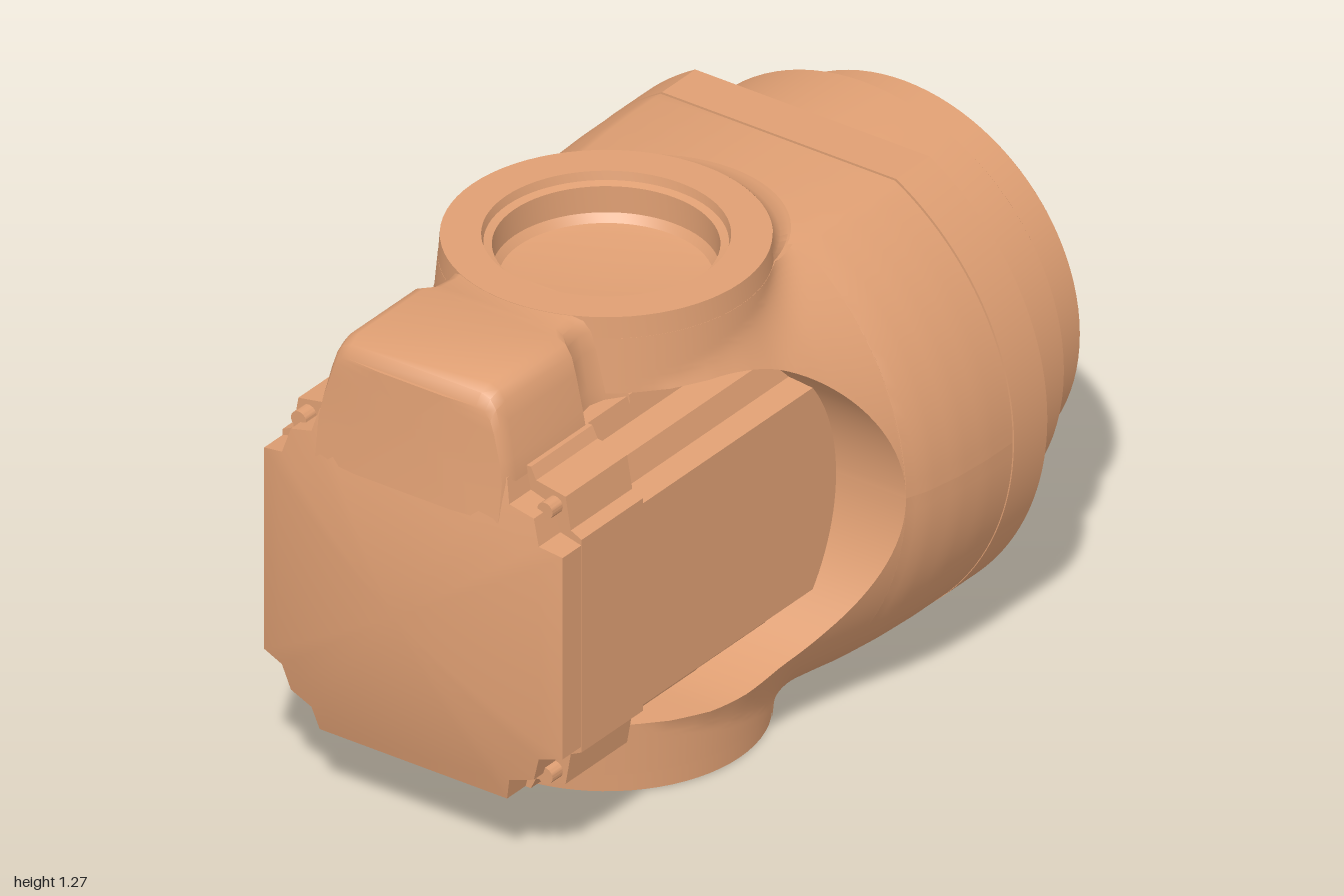
import * as THREE from 'three';
import { toCreasedNormals } from 'three/addons/utils/BufferGeometryUtils.js';

const AXIS = 0.632;   // height of the main axis, which runs along x
const PIVOT = -0.17;  // x of the vertical joint axis
const material = new THREE.MeshStandardMaterial({ color: 0xdf9f73, side: THREE.DoubleSide });

function part(name, geometry, parent, crease = 0.5) {
  const mesh = new THREE.Mesh(toCreasedNormals(geometry, crease), material);
  mesh.name = name;
  parent.add(mesh);
  return mesh;
}

// Skin over rings of [x, y, z], ordered along +x, with both ends closed
function loft(rings) {
  const n = rings[0].length, verts = rings.flat(2), index = [];
  for (let i = 0; i < rings.length - 1; i++) {
    for (let j = 0; j < n; j++) {
      const a = i * n + j, b = i * n + (j + 1) % n, c = a + n, d = b + n;
      index.push(a, c, b, b, c, d);
    }
  }
  [0, rings.length - 1].forEach((r, end) => {
    const centre = verts.length / 3;
    for (let k = 0; k < 3; k++) verts.push(rings[r].reduce((s, p) => s + p[k], 0) / n);
    for (let j = 0; j < n; j++) {
      const a = r * n + j, b = r * n + (j + 1) % n;
      index.push(centre, end ? b : a, end ? a : b);
    }
  });
  const g = new THREE.BufferGeometry();
  g.setAttribute('position', new THREE.Float32BufferAttribute(verts, 3));
  g.setIndex(index);
  return g;
}

const lathe = (pts, seg = 72, start = 0, len = Math.PI * 2) =>
  new THREE.LatheGeometry(pts.map(p => new THREE.Vector2(...p)), seg, start, len);

// Linear lookup in a list of [x, value]
function sample(table, x) {
  let i = 1;
  while (i < table.length - 1 && x > table[i][0]) i++;
  const [x0, v0] = table[i - 1], [x1, v1] = table[i];
  return v0 + (v1 - v0) * THREE.MathUtils.clamp((x - x0) / (x1 - x0), 0, 1);
}

function smoothMax(a, b, k) {
  const h = Math.max(k - Math.abs(a - b), 0) / k;
  return Math.max(a, b) + h * h * k / 4;
}

const chord = (r, d) => Math.sqrt(Math.max(0, r * r - d * d));

// Half of the forked housing: a round body blended into the joint boss,
// cut by the round-ended side window and by the bearing well
function housingHalf() {
  const width = [[-0.57, 0], [-0.5, 0.28], [-0.4, 0.45], [-0.3, 0.52], [-0.2, 0.55], [-0.1, 0.56],
    [0, 0.585], [0.07, 0.607], [0.14, 0.63], [0.2, 0.652], [0.3, 0.67], [0.4, 0.677], [0.5, 0.677]];
  const R = 0.675, top = 0.585, stations = [];
  for (let i = 0; i <= 14; i++) stations.push(-0.3 - 0.268 * Math.cos(i / 14 * Math.PI / 2));
  for (let i = 1; i <= 28; i++) stations.push(-0.3 + 0.445 * Math.sin(i / 28 * Math.PI / 2));
  for (let i = 1; i <= 14; i++) stations.push(0.145 + 0.355 * i / 14);
  return loft(stations.map(x => {
    const w = sample(width, x), well = chord(0.28, x - PIVOT), side = [];
    const a0 = Math.asin(chord(0.445, Math.max(0, x + 0.3)) / R), a1 = Math.asin(top / R);
    for (let j = 0; j <= 18; j++) {
      const a = a0 + (a1 - a0) * j / 18, y = R * Math.sin(a);
      const boss = chord(0.386 + 0.09 * (0.637 - y), x - PIVOT);
      const blend = 0.06 * THREE.MathUtils.smoothstep(x, -0.5, -0.1) + 0.001;
      side.push([x, y, boss > 0 ? smoothMax(w * Math.cos(a), boss, blend) : w * Math.cos(a)]);
    }
    side.push([x, top, well], [x, well > 0 ? 0.5 : top, well]);
    return [...side, ...side.map(([px, y, z]) => [px, y, -z]).reverse()];
  }));
}

// Fillet from the front of a boss to the flat of the housing, fading out sideways
function bossFillet() {
  const half = 1.05, r0 = 0.387;
  const g = lathe([[0.53, 1.214], [0.48, 1.218], [0.44, 1.23], [0.41, 1.248], [r0, 1.271]],
    32, Math.PI / 2 - half, 2 * half);
  const p = g.attributes.position;
  for (let i = 0; i < p.count; i++) {
    const r = Math.hypot(p.getX(i), p.getZ(i)), angle = Math.atan2(p.getZ(i), p.getX(i));
    const s = (r0 + (r - r0) * Math.cos(angle / half * Math.PI / 2)) / r;
    p.setX(i, p.getX(i) * s);
    p.setZ(i, p.getZ(i) * s);
  }
  g.computeVertexNormals();
  return g;
}

// Four-way symmetric outline from one quarter of [z, y] points
function outline(quarter) {
  const back = [...quarter].reverse();
  return [...quarter, ...back.map(([z, y]) => [-z, y]),
    ...quarter.map(([z, y]) => [-z, -y]), ...back.map(([z, y]) => [z, -y])];
}

const dome = (y, z) => -1 + 0.3 * (y * y + z * z);

function motor(group) {
  const body = outline([[0.43, 0.27], [0.37, 0.285], [0.35, 0.35], [0.285, 0.37], [0.27, 0.43]]);
  const collar = outline([[0.431, 0.285], [0.4, 0.3], [0.385, 0.385], [0.3, 0.4], [0.285, 0.431]]);

  // domed rear cover running into the long notched body
  const rings = [];
  for (let i = 1; i <= 8; i++) {
    rings.push(body.map(([z, y]) => [dome(y * i / 8, z * i / 8), y * i / 8, z * i / 8]));
  }
  rings.push(body.map(([z, y]) => [0.2, y, z]));
  part('motorBody', loft(rings), group).position.y = AXIS;

  // collar with slightly fuller corners
  part('motorCollar', loft([-0.85, -0.61].map(x => collar.map(([z, y]) => [x, y, z]))), group)
    .position.y = AXIS;

  // corner screws in the notches behind the rear cover
  for (const sy of [-1, 1]) for (const sz of [-1, 1]) {
    const screw = part('motorScrew', new THREE.CylinderGeometry(0.022, 0.022, 0.05, 20), group);
    screw.rotation.z = Math.PI / 2;
    screw.position.set(-0.865, AXIS + sy * 0.355, sz * 0.355);
  }
}

// Raised box on top of the motor, necked where it joins the upper boss
function terminalBox() {
  const half = [[0.275, 0.95], [0.275, 1.05], [0.265, 1.1], [0.245, 1.19], [0.232, 1.235],
    [0.215, 1.26], [0.19, 1.271]];
  const section = [...half, ...half.map(([z, y]) => [-z, y]).reverse()];
  const ring = (fx, s, drop) => section.map(([z, y]) => {
    const yy = y - drop * Math.max(0, y - 1.1) / 0.17;
    return [fx(yy - AXIS, z * s), yy, z * s];
  });
  const end = (y, z) => dome(Math.min(y, 0.35), z) + 0.11 * Math.max(0, y - 0.35);
  return loft([
    ring(end, 0.5, 0.045), ring(end, 0.96, 0.045), ring((y, z) => end(y, z) + 0.012, 0.985, 0.015),
    ring((y, z) => end(y, z) + 0.04, 1, 0),
    ring(() => -0.62, 1, 0), ring(() => -0.59, 0.86, 0), ring(() => -0.54, 0.83, 0),
    ring(() => -0.5, 0.87, 0), ring(() => -0.45, 1, 0),
  ]);
}

// Round flange with two flats and a row of bolt holes on each side
function flange() {
  const R = 0.677, a = Math.asin(0.587 / R), shape = new THREE.Shape();
  shape.absarc(0, 0, R, -a, a, false);
  shape.absarc(0, 0, R, Math.PI - a, Math.PI + a, false);
  shape.closePath();
  const hole = (deg, r) => {
    const t = THREE.MathUtils.degToRad(deg), h = new THREE.Path();
    h.absarc(0.63 * Math.cos(t), 0.63 * Math.sin(t), r, 0, Math.PI * 2, true);
    shape.holes.push(h);
  };
  for (const base of [0, 180]) {
    for (const deg of [-57.3, -43, -29, -15, 0, 15, 29, 43, 57.3]) hole(base + deg, 0.029);
    hole(base + 7.5, 0.026);
  }
  return new THREE.ExtrudeGeometry(shape, { depth: 0.13, bevelEnabled: false, curveSegments: 32 })
    .rotateY(Math.PI / 2);
}

export function createModel() {
  const model = new THREE.Group();
  model.name = 'swivelJoint';

  // forked housing, upper and lower halves
  for (const turn of [0, Math.PI]) {
    const half = part(turn ? 'lowerHousing' : 'upperHousing', housingHalf(), model, 0.6);
    half.position.y = AXIS;
    half.rotation.x = turn;
  }

  // joint bosses: open bearing seat above, shallow recess below
  part('upperBoss', lathe([[0.27, 1.09], [0.4, 1.09], [0.39, 1.22], [0.386, 1.272], [0.29, 1.272],
    [0.285, 1.25], [0.265, 1.245], [0.265, 1.175], [0.25, 1.155], [0.22, 1.148], [0, 1.148]]), model)
    .position.x = PIVOT;
  part('lowerBoss', lathe([[0, 0.025], [0.2, 0.025], [0.2, 0], [0.385, 0], [0.4, 0.18], [0, 0.18]]), model)
    .position.x = PIVOT;
  part('upperFillet', bossFillet(), model).position.x = PIVOT;
  const lower = part('lowerFillet', bossFillet(), model);
  lower.position.set(PIVOT, 1.272, 0);
  lower.rotation.x = Math.PI;

  motor(model);
  part('terminalBox', terminalBox(), model, 0.7);

  // bolted flange and stepped output drum with a central bore
  part('boltFlange', flange(), model).position.set(0.505, AXIS, 0);
  const drum = part('outputDrum', lathe([[0, 0.49], [0.57, 0.49], [0.575, 0.6], [0.575, 0.838],
    [0.568, 0.845], [0.505, 0.845], [0.505, 0.995], [0.5, 1], [0.12, 1], [0.115, 0.99], [0.115, 0.85],
    [0.08, 0.85], [0.08, 0.8], [0.05, 0.8], [0.05, 0.83], [0.022, 0.83], [0.022, 0.78], [0, 0.78]], 96), model);
  drum.rotation.z = -Math.PI / 2;
  drum.position.y = AXIS;

  return model;
}
